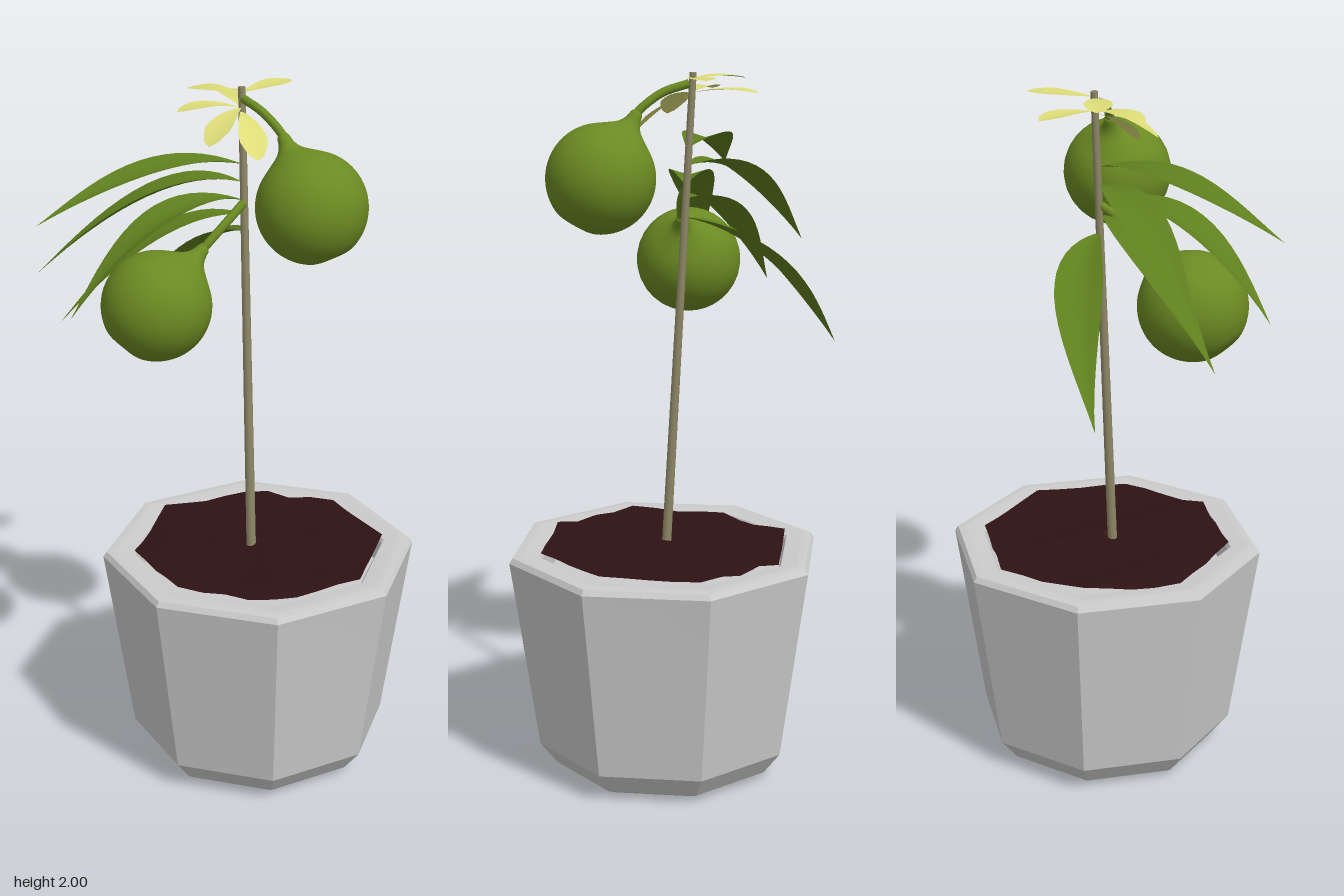
import * as THREE from 'three';
import { toCreasedNormals } from 'three/addons/utils/BufferGeometryUtils.js';

const V = (a) => new THREE.Vector3(...a);
const mat = (color, extra = {}) => new THREE.MeshStandardMaterial({ color, ...extra });

// Curved blade along a quadratic path; halfWidth(t) shapes it, fold raises its edges
function blade(base, mid, tip, halfWidth, fold, rows = 16) {
  const curve = new THREE.QuadraticBezierCurve3(V(base), V(mid), V(tip));
  const pos = [], index = [], cols = 4;
  const up = new THREE.Vector3(0, 1, 0);
  for (let i = 0; i <= rows; i++) {
    const t = i / rows, p = curve.getPoint(t), tan = curve.getTangent(t);
    const side = tan.clone().cross(up).normalize();
    const normal = side.clone().cross(tan).normalize();
    for (let j = 0; j <= cols; j++) {
      const s = (j / cols) * 2 - 1, w = halfWidth(t);
      const q = p.clone().addScaledVector(side, s * w).addScaledVector(normal, Math.abs(s) * w * fold);
      pos.push(q.x, q.y, q.z);
      if (i < rows && j < cols) {
        const a = i * (cols + 1) + j, b = a + cols + 1;
        index.push(a, a + 1, b, a + 1, b + 1, b);
      }
    }
  }
  const geo = new THREE.BufferGeometry();
  geo.setAttribute('position', new THREE.Float32BufferAttribute(pos, 3));
  geo.setIndex(index);
  geo.computeVertexNormals();
  return geo;
}

export function createModel() {
  const group = new THREE.Group();
  const add = (name, geo, material) => {
    const mesh = new THREE.Mesh(geo, material);
    mesh.name = name;
    group.add(mesh);
    return mesh;
  };
  const green = mat(0x6b8a22);
  const leafMat = mat(0x5f7f1e, { side: THREE.DoubleSide });
  const petalMat = mat(0xdcdc78, { side: THREE.DoubleSide });
  const woodMat = mat(0x8f8868);

  // Octagonal pot with chamfered foot and bevelled rim
  const potProfile = [[0, 0], [0.285, 0], [0.325, 0.02], [0.375, 0.085], [0.452, 0.62], [0.455, 0.64],
    [0.445, 0.655], [0.42, 0.658], [0.37, 0.652], [0.363, 0.64], [0.355, 0.58], [0, 0.58]];
  const potGeo = new THREE.LatheGeometry(potProfile.map(([r, y]) => new THREE.Vector2(r, y)), 8);
  const pot = add('pot', toCreasedNormals(potGeo, 0.25), mat(0xcccccc));
  pot.position.set(0.037, 0, -0.035);

  // Lumpy soil surface filling the pot
  const soilGeo = new THREE.RingGeometry(0.001, 0.364, 32, 8).rotateX(-Math.PI / 2);
  const sp = soilGeo.attributes.position;
  for (let i = 0; i < sp.count; i++) {
    const x = sp.getX(i), z = sp.getZ(i), a = Math.atan2(z, x);
    const step = Math.PI / 4, local = ((a % step) + step) % step - step / 2;
    const k = Math.cos(step / 2) / Math.cos(local); // octagonal outline
    const bump = 0.009 * Math.sin(x * 17 + 1) * Math.cos(z * 15) + 0.005 * Math.sin(x * 31 - z * 27);
    sp.setXYZ(i, x * k, 0.66 + bump, z * k);
  }
  soilGeo.computeVertexNormals();
  add('soil', soilGeo, mat(0x2e1214, { side: THREE.DoubleSide })).position.set(0.037, 0, -0.035);

  // Slender leaning trunk
  const from = V([0.027, 0.63, -0.012]), to = V([-0.04, 1.995, -0.05]);
  const trunk = add('trunk', new THREE.CylinderGeometry(0.01, 0.014, from.distanceTo(to), 8), woodMat);
  trunk.position.copy(from).lerp(to, 0.5);
  trunk.quaternion.setFromUnitVectors(V([0, 1, 0]), to.clone().sub(from).normalize());

  // Round fruits, each with a tapering neck and a curved stalk
  const fruitProfile = [[0, -0.143], [0.03, -0.145]];
  for (let i = 1; i <= 13; i++) {
    const a = -1.35 + i * 0.18;
    fruitProfile.push([0.151 * Math.cos(a), 0.151 * Math.sin(a)]);
  }
  fruitProfile.push([0.052, 0.147], [0.033, 0.162], [0.021, 0.182], [0.015, 0.205], [0, 0.207]);
  const fruitGeo = new THREE.LatheGeometry(
    new THREE.SplineCurve(fruitProfile.map(([r, y]) => new THREE.Vector2(r, y))).getPoints(44)
      .map((p) => new THREE.Vector2(Math.max(p.x, 0), p.y)), 32);
  const fruits = [
    { at: [0.215, 1.713, -0.03], axis: [-0.5, 0.86, -0.02], stalk: [[0.045, 1.94, -0.036], [-0.03, 1.965, -0.045]] },
    { at: [-0.11, 1.437, 0.23], axis: [0.3, 0.72, -0.66], stalk: [[-0.03, 1.635, 0.035], [-0.022, 1.68, -0.035]] },
  ];
  for (const { at, axis, stalk } of fruits) {
    const dir = V(axis).normalize();
    const fruit = add('fruit', fruitGeo, green);
    fruit.position.set(...at);
    fruit.quaternion.setFromUnitVectors(V([0, 1, 0]), dir);
    const neck = V(at).addScaledVector(dir, 0.17), neckEnd = V(at).addScaledVector(dir, 0.205);
    const path = new THREE.CatmullRomCurve3([neck, neckEnd, ...stalk.map(V)]);
    add('fruitStalk', new THREE.TubeGeometry(path, 16, 0.012, 8), green);
  }

  // Long drooping leaves: base, control point, tip, half width
  const leaves = [
    [[-0.02, 1.6, -0.04], [-0.24, 1.56, -0.11], [-0.495, 1.21, 0.03], 0.062],
    [[-0.03, 1.74, -0.03], [-0.22, 1.78, 0.09], [-0.485, 1.47, 0.30], 0.062],
    [[-0.03, 1.79, -0.03], [-0.16, 1.84, 0.16], [-0.30, 1.685, 0.485], 0.062],
    [[-0.025, 1.69, -0.03], [-0.11, 1.76, 0.22], [-0.22, 1.435, 0.45], 0.062],
    [[-0.02, 1.65, -0.03], [-0.19, 1.66, 0.10], [-0.385, 1.35, 0.325], 0.056],
  ];
  for (const [base, mid, tip, w] of leaves) {
    const width = (t) => 0.004 * (1 - t) + w * Math.pow(Math.sin(Math.PI * Math.pow(t, 0.88)), 1.15);
    add('leaf', blade(base, mid, tip, width, 0.3), leafMat);
  }

  // Pale rounded young leaves at the crown
  const petals = [
    [[-0.04, 1.98, -0.05], [-0.03, 1.985, -0.14], [-0.02, 1.985, -0.235]],
    [[-0.04, 1.94, -0.05], [-0.11, 1.96, -0.10], [-0.185, 1.945, -0.17]],
    [[-0.04, 1.975, -0.05], [-0.11, 1.99, -0.02], [-0.20, 1.975, -0.015]],
    [[-0.04, 1.94, -0.04], [-0.09, 1.965, 0.02], [-0.14, 1.94, 0.10]],
    [[-0.035, 1.94, -0.04], [-0.025, 1.94, 0.04], [-0.015, 1.87, 0.12]],
    [[-0.035, 1.93, -0.04], [0.03, 1.915, 0.0], [0.093, 1.835, 0.045]],
  ];
  for (const [base, mid, tip] of petals) {
    const width = (t) => 0.003 * (1 - t) + 0.054 * Math.sqrt(Math.max(0, 1 - t * t)) * Math.min(1, 1.45 * Math.pow(t, 1.1));
    add('youngLeaf', blade(base, mid, tip, width, 0.1, 18), petalMat);
  }

  return group;
}
